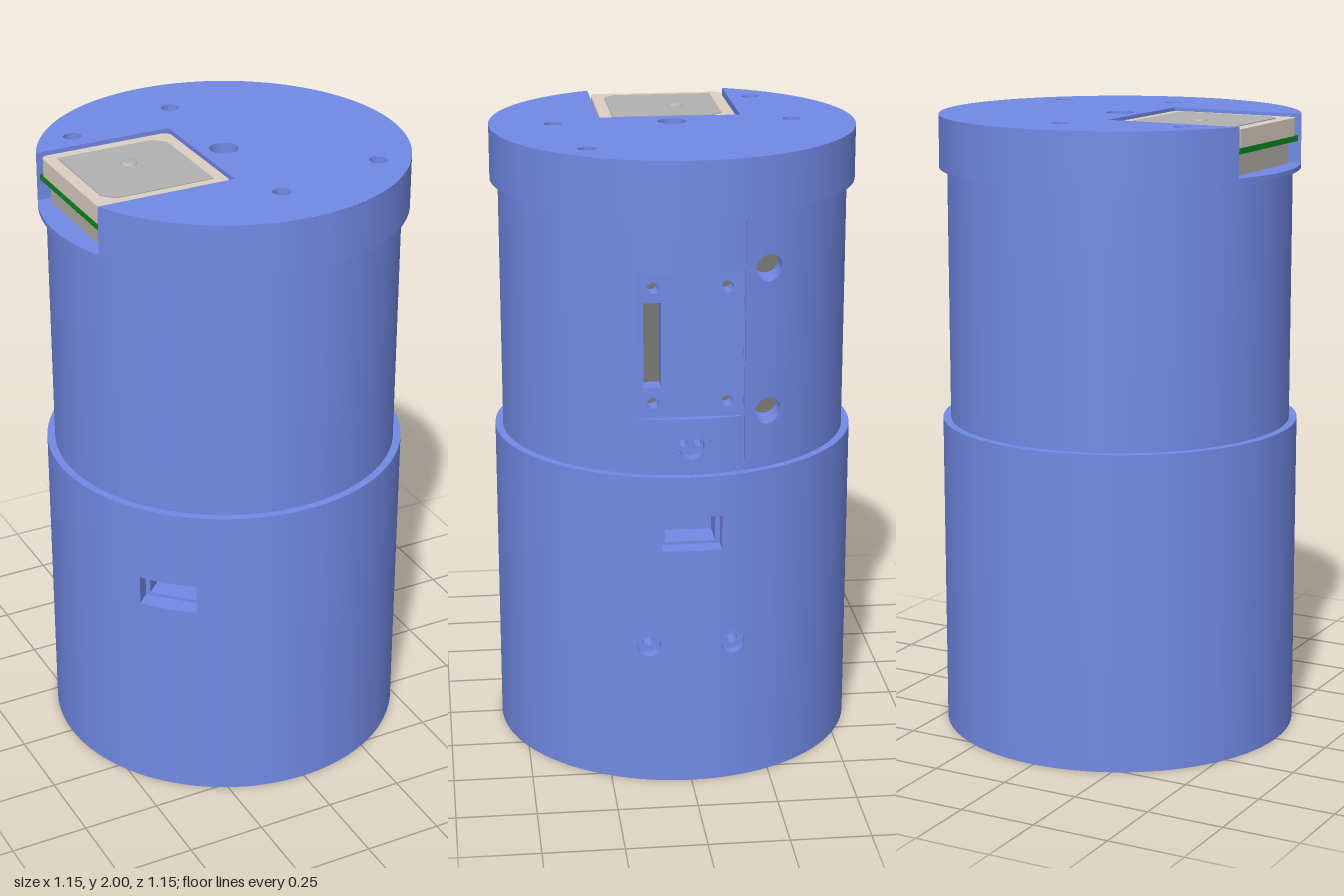
import * as THREE from 'three';

const BLUE = 0x728ae6, GREY = 0x777772;
const mat = (color, side = THREE.FrontSide) => new THREE.MeshStandardMaterial({ color, side });
const blue = mat(BLUE), blueBoth = mat(BLUE, THREE.DoubleSide);
const V2 = (x, y) => new THREE.Vector2(x, y);

function add(parent, name, geometry, material) {
  const m = new THREE.Mesh(geometry, material);
  m.name = name;
  parent.add(m);
  return m;
}

// Outlines
const circle = (x, y, r, n = 24, turn = 0) => Array.from({ length: n }, (_, i) => {
  const t = turn + (i / n) * Math.PI * 2;
  return V2(x + r * Math.cos(t), y + r * Math.sin(t));
});
function rect(x, y, hw, hh, n = 12) {
  const pts = [];
  for (let i = 0; i <= n; i++) pts.push(V2(x - hw + (2 * hw * i) / n, y - hh));
  for (let i = n; i >= 0; i--) pts.push(V2(x - hw + (2 * hw * i) / n, y + hh));
  return pts;
}
function face(outline, holes = []) {
  const s = new THREE.Shape(outline);
  holes.forEach(h => s.holes.push(new THREE.Path(h)));
  return new THREE.ShapeGeometry(s);
}

// Flat-shaded strip joining two matching closed loops of points
function loft(a, b, skip = () => false) {
  const pos = [];
  a.forEach((p, i) => {
    const j = (i + 1) % a.length;
    if (skip(i, j)) return;
    [a[i], a[j], b[j], a[i], b[j], b[i]].forEach(v => pos.push(v.x, v.y, v.z));
  });
  const g = new THREE.BufferGeometry();
  g.setAttribute('position', new THREE.Float32BufferAttribute(pos, 3));
  g.computeVertexNormals();
  return g;
}

// Cylinder wall with openings; each opening faces angle th, sideways offset s
function wall(R, y0, y1, holes) {
  const TAU = Math.PI * 2;
  let cuts = Array.from({ length: 97 }, (_, i) => (i / 96) * TAU);
  for (const h of holes) for (let i = 0; i <= 12; i++) {
    const a = h.th + Math.asin((h.s - h.hw * Math.cos(i * Math.PI / 12)) / R);
    cuts.push(((a % TAU) + TAU) % TAU);
  }
  cuts = cuts.sort((a, b) => a - b).filter((a, i, all) => i === 0 || a - all[i - 1] > 1e-6);
  const off = (h, a) => R * Math.sin(a - h.th) - h.s;
  const half = (h, a) => h.round ? Math.sqrt(Math.max(0, h.hw ** 2 - off(h, a) ** 2)) : h.hh;
  const pos = [], nor = [];
  const put = (a, y) => {
    pos.push(R * Math.cos(a), y, -R * Math.sin(a));
    nor.push(Math.cos(a), 0, -Math.sin(a));
  };
  for (let i = 0; i < cuts.length - 1; i++) {
    const a = cuts[i], b = cuts[i + 1], m = (a + b) / 2;
    const hit = holes.filter(h => Math.cos(m - h.th) > 0 && Math.abs(off(h, m)) < h.hw).sort((p, q) => p.y - q.y);
    let la = y0, lb = y0;
    const band = (ha, hb) => {
      if (ha - la > 1e-5 || hb - lb > 1e-5) {
        put(a, la); put(b, lb); put(b, hb);
        put(a, la); put(b, hb); put(a, ha);
      }
    };
    for (const h of hit) {
      band(h.y - half(h, a), h.y - half(h, b));
      la = h.y + half(h, a);
      lb = h.y + half(h, b);
    }
    band(y1, y1);
  }
  const g = new THREE.BufferGeometry();
  g.setAttribute('position', new THREE.Float32BufferAttribute(pos, 3));
  g.setAttribute('normal', new THREE.Float32BufferAttribute(nor, 3));
  return g;
}

// Recess behind an opening: side walls, flat floor and deeper inner holes
function recess(parent, R, h) {
  const g = new THREE.Group();
  g.name = h.name;
  g.rotation.y = h.th;
  parent.add(g);
  const outline = h.round ? circle(h.s, h.y, h.hw) : rect(h.s, h.y, h.hw, h.hh);
  const at = (p, x) => new THREE.Vector3(x, p.y, -p.x);
  const x1 = R - h.depth, inner = h.inner || [];
  const skip = (i, j) => h.openTop && Math.min(outline[i].y, outline[j].y) > h.y + h.hh - 1e-4;
  add(g, 'recessSides', loft(outline.map(p => at(p, Math.sqrt(R * R - p.x * p.x))), outline.map(p => at(p, x1)), skip), blueBoth);
  add(g, 'recessFloor', face(outline, inner).rotateY(Math.PI / 2).translate(x1, 0, 0), mat(h.floor || BLUE));
  for (const o of inner) {
    const x2 = x1 - (h.innerDepth || 0.06);
    add(g, 'innerHoleSides', loft(o.map(p => at(p, x1)), o.map(p => at(p, x2))), blueBoth);
    add(g, 'innerHoleFloor', face(o).rotateY(Math.PI / 2).translate(x2, 0, 0), mat(h.innerFloor || GREY));
  }
}

// Vertical hole through a horizontal face; outlines use (x, -z)
function shaft(parent, name, outline, ya, yb, floorColor) {
  const at = y => outline.map(p => new THREE.Vector3(p.x, y, -p.y));
  add(parent, name, loft(at(ya), at(yb)), blueBoth);
  if (floorColor !== undefined)
    add(parent, name + 'End', face(outline).rotateX(-Math.PI / 2).translate(0, yb, 0), mat(floorColor, THREE.DoubleSide));
}

function section(parent, name, R, y0, y1, holes) {
  const g = new THREE.Group();
  g.name = name;
  parent.add(g);
  add(g, name + 'Wall', wall(R, y0, y1, holes), blue);
  holes.forEach(h => recess(g, R, h));
  return g;
}

export function createModel() {
  const model = new THREE.Group();
  model.name = 'cylindricalDevice';
  const R = 0.575, RU = 0.55;
  const through = [V2(-0.375, 0.3), V2(0.375, -0.295)];

  // Lower body with two ports and two countersunk holes
  const port = (name, th, y, hh) => ({
    name, th, s: 0, y, hw: 0.093, hh, depth: 0.06,
    inner: [rect(0, y, 0.078, hh - 0.01)], innerDepth: 0.1, innerFloor: BLUE });
  const lower = section(model, 'lowerBody', R, 0, 1.02, [
    port('sidePort', 0, 0.835, 0.055),
    port('frontPort', -Math.PI * 0.75, 0.7225, 0.048),
    ...[-0.133, 0.13].map(s => ({
      name: 'screwHole', th: 0, s, y: 0.465, hw: 0.038, round: true, depth: 0.05,
      inner: [circle(s, 0.465, 0.018)], innerFloor: BLUE })),
  ]);
  add(lower, 'ledge', new THREE.RingGeometry(RU, R, 96).rotateX(-Math.PI / 2).translate(0, 1.02, 0), blue);

  // Upper body with a flat mounting panel, seam and cable holes
  section(model, 'upperBody', RU, 1.02, 1.83, [
    { name: 'mountPanel', th: 0, s: -0.0025, y: 1.425, hw: 0.1625, hh: 0.227, depth: 0.0255,
      inner: [rect(-0.117, 1.427, 0.027, 0.132),
        ...[-0.115, 0.11].flatMap(s => [1.245, 1.605].map(y => circle(s, y, 0.018)))] },
    { name: 'seam', th: 0, s: 0.163, y: 1.425, hw: 0.002, hh: 0.405, depth: 0.035 },
    ...[1.2, 1.65].map(y => ({ name: 'cableHole', th: 0, s: 0.24, y, hw: 0.042, round: true, depth: 0.16, floor: GREY })),
    { name: 'socketHole', th: 0, s: 0, y: 1.11, hw: 0.04, round: true, depth: 0.04,
      inner: [-0.023, 0.023].map(s => circle(s, 1.11, 0.013)), innerFloor: BLUE },
  ]);

  // Cap with a pocket open to the side
  const cap = section(model, 'cap', R, 1.83, 2, [
    { name: 'modulePocket', th: Math.PI, s: 0, y: 1.9225, hw: 0.226, hh: 0.0775, depth: R - 0.08, openTop: true },
  ]);
  add(cap, 'capUnderside', new THREE.RingGeometry(RU, R, 96).rotateX(Math.PI / 2).translate(0, 1.83, 0), blue);
  const edge = Math.asin(0.226 / R), topShape = [V2(-0.08, -0.226), V2(-0.08, 0.226)];
  for (let i = 0; i <= 96; i++) {
    const t = Math.PI - edge - (i / 96) * 2 * (Math.PI - edge);
    topShape.push(V2(R * Math.cos(t), R * Math.sin(t)));
  }
  const blind = [circle(0, 0, 0.045), circle(0, 0.378, 0.028), circle(0, -0.374, 0.028)];
  const throughTop = through.map(p => circle(p.x, p.y, 0.028));
  add(cap, 'capTop', face(topShape, [...blind, ...throughTop]).rotateX(-Math.PI / 2).translate(0, 2, 0), blue);
  blind.forEach(o => shaft(cap, 'topHole', o, 2, 1.86, GREY));
  throughTop.forEach(o => shaft(cap, 'throughHole', o, 2, 0.06));

  // Base with nut pockets, centre hole, battery plate and vents
  const base = new THREE.Group();
  base.name = 'base';
  model.add(base);
  const nuts = through.map(p => circle(p.x, p.y, 0.05, 6));
  const centre = circle(0, 0, 0.08, 32);
  const plate = rect(0.36, -0.02, 0.14, 0.145, 1);
  const vents = Array.from({ length: 6 }, (_, i) => rect(-0.03 - i * 0.034, 0.27, 0.007, 0.065, 1));
  add(base, 'baseFace', face(circle(0, 0, R, 96), [...nuts, centre, plate, ...vents]).rotateX(-Math.PI / 2),
    blueBoth);
  nuts.forEach((o, i) => {
    shaft(base, 'nutPocket', o, 0, 0.06);
    add(base, 'nutPocketEnd', face(o, [throughTop[i]]).rotateX(-Math.PI / 2).translate(0, 0.06, 0), blueBoth);
  });
  shaft(base, 'centreHole', centre, 0, 0.07, BLUE);
  shaft(base, 'plateRecess', plate, 0, 0.01, 0x50504c);
  vents.forEach(o => shaft(base, 'vent', o, 0, 0.05, BLUE));
  for (const z of [0.12, -0.08])
    add(base, 'plateStud', new THREE.CylinderGeometry(0.034, 0.028, 0.02, 24).translate(0.385, 0.01, z), mat(0xcccccc));

  // Antenna module seated in the pocket
  const module = new THREE.Group();
  module.name = 'antennaModule';
  module.position.x = -0.302;
  model.add(module);
  const box = (name, w, h, y, color) =>
    add(module, name, new THREE.BoxGeometry(w, h, w).translate(0, y, 0), mat(color));
  box('shieldCan', 0.39, 0.07, 1.88, 0xb5b0a8);
  box('circuitBoard', 0.438, 0.018, 1.924, 0x0a8a1a);
  const tile = new THREE.Shape(), k = 0.217, r = 0.025;
  [[1, 1, 0], [-1, 1, 1], [-1, -1, 2], [1, -1, 3]].forEach(([x, y, q]) =>
    tile.absarc(x * (k - r), y * (k - r), r, q * Math.PI / 2, (q + 1) * Math.PI / 2));
  const slab = (shape, h, y) =>
    new THREE.ExtrudeGeometry(shape, { depth: h, bevelEnabled: false, curveSegments: 6 }).rotateX(-Math.PI / 2).translate(0, y, 0);
  add(module, 'ceramicTile', slab(tile, 0.057, 1.933), mat(0xddd0c4));
  const p = 0.177, c = 0.035;
  const patch = new THREE.Shape([V2(-p, -p + c), V2(-p + c, -p), V2(p, -p), V2(p, p - c), V2(p - c, p), V2(-p, p)]);
  add(module, 'metalPatch', slab(patch, 0.003, 1.99), mat(0xb2b2b2));
  add(module, 'feedPin', new THREE.SphereGeometry(0.026, 24, 8, 0, Math.PI * 2, 0, Math.PI / 2).scale(1, 0.27, 1)
    .translate(0, 1.993, -0.043), mat(0xb2b2b2));

  return model;
}
